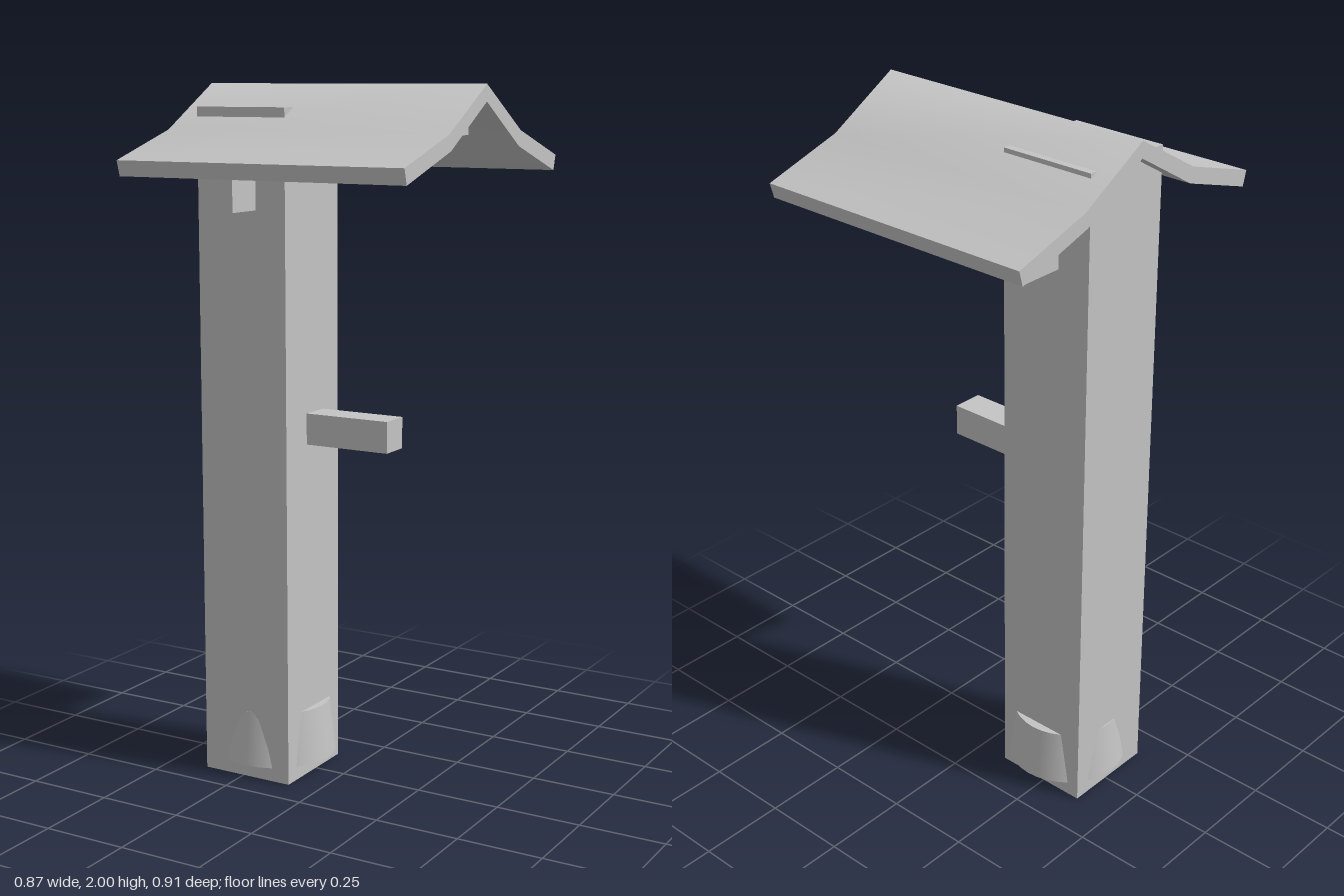
import * as THREE from 'three';
import { toCreasedNormals } from 'three/addons/utils/BufferGeometryUtils.js';

export function createModel() {
  const group = new THREE.Group();
  const grey = new THREE.MeshStandardMaterial({ color: 0xc4c4c4 });
  grey.name = 'plain grey';

  const add = (name, geometry) => {
    const mesh = new THREE.Mesh(geometry, grey);
    mesh.name = name;
    group.add(mesh);
    return mesh;
  };
  // box given by its minimum and maximum corners
  const box = (name, [x0, y0, z0], [x1, y1, z1]) =>
    add(name, new THREE.BoxGeometry(x1 - x0, y1 - y0, z1 - z0))
      .position.set((x0 + x1) / 2, (y0 + y1) / 2, (z0 + z1) / 2);

  // upright post, its top edges poking through the roof
  box('post', [-0.38, 0, -0.13], [-0.095, 1.937, 0.155]);

  // beams let into the post
  box('crossBeam', [-0.28, 1.657, -0.27], [-0.19, 1.747, 0.27]);
  box('sidePeg', [-0.2, 0.99, -0.045], [0.165, 1.08, 0.045]);
  box('ridgeBeam', [-0.24, 1.865, -0.045], [0.36, 1.953, 0.045]);

  // round footing showing through the four sides of the post
  const footing = add('footing', new THREE.CylinderGeometry(0.156, 0.174, 0.16, 32));
  footing.position.set(-0.228, 0.12, 0);

  // bent gable roof: mirrored profile swept along x
  const upper = [[0, 2], [0.215, 1.875], [0.455, 1.8]];
  const lower = [[0.443, 1.757], [0.205, 1.832], [0, 1.954]];
  const half = [...upper, ...lower];
  const mirrored = [...lower.slice(0, 2).reverse(), ...upper.slice(1).reverse()]
    .map(([z, y]) => [-z, y]);
  const profile = new THREE.Shape([...half, ...mirrored].map(([z, y]) => new THREE.Vector2(z, y)));
  const roof = new THREE.ExtrudeGeometry(profile, { depth: 0.87, bevelEnabled: false });
  roof.translate(0, 0, -0.435).rotateY(Math.PI / 2);
  add('roof', toCreasedNormals(roof, 1.25));

  return group;
}
